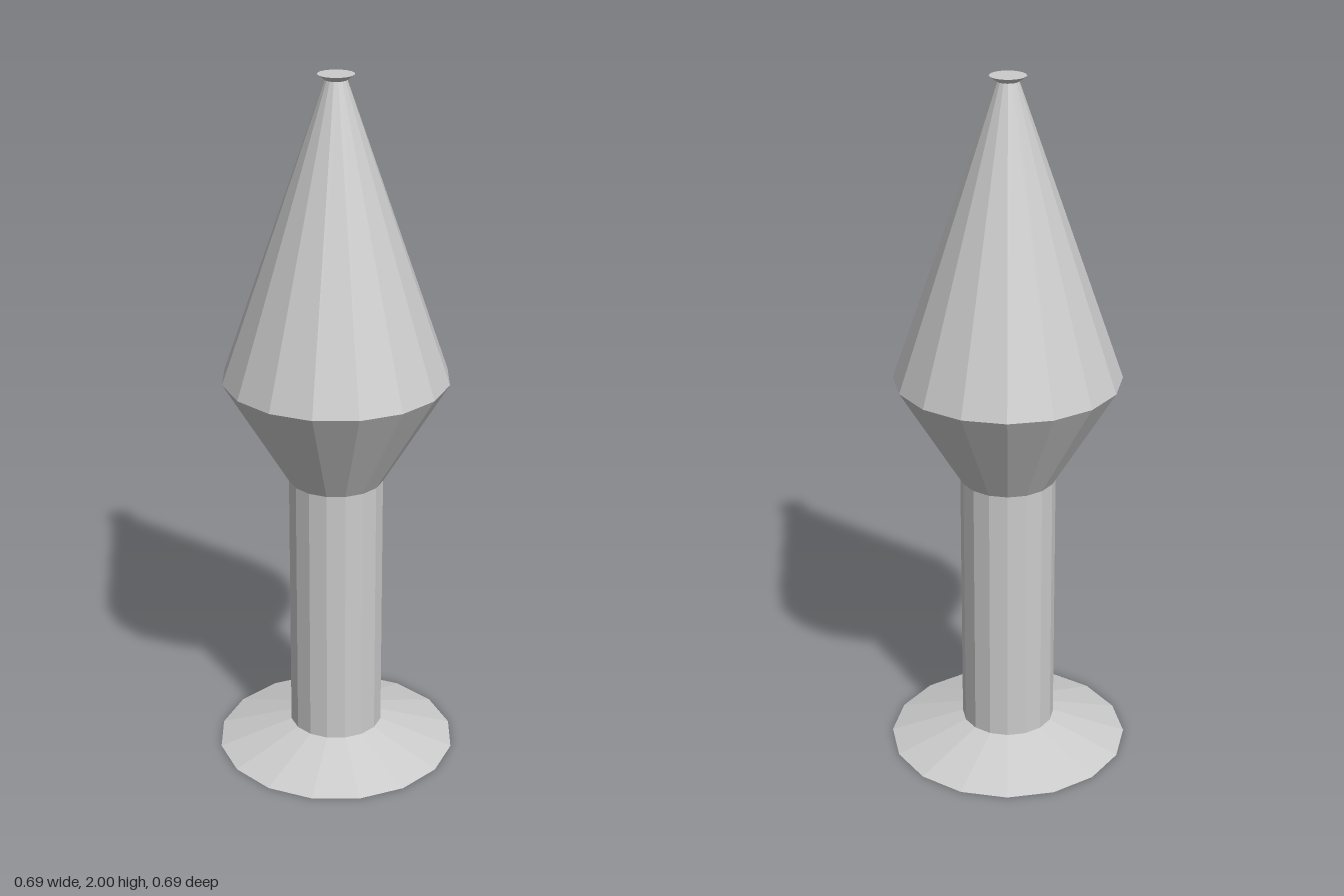
import * as THREE from 'three';

const SIDES = 16;

export function createModel() {
  const model = new THREE.Group();
  model.name = 'turnedPost';
  const material = new THREE.MeshStandardMaterial({ color: 0xcccccc, flatShading: true });

  // One tapered ring section between two heights, open unless it closes an end
  function section(name, y0, r0, y1, r1, capped = false) {
    const geometry = new THREE.CylinderGeometry(r1, r0, y1 - y0, SIDES, 1, !capped);
    const mesh = new THREE.Mesh(geometry, material);
    mesh.name = name;
    mesh.position.y = (y0 + y1) / 2;
    model.add(mesh);
  }

  // Foot and straight stem
  section('base', 0, 0.347, 0.07, 0.135, true);
  section('shaft', 0.07, 0.135, 0.85, 0.135);

  // Double-cone head
  section('lowerHead', 0.85, 0.135, 1.155, 0.318);
  section('upperHead', 1.155, 0.318, 1.985, 0.03);

  // Small flared tip
  section('tip', 1.985, 0.03, 2, 0.05, true);

  return model;
}
